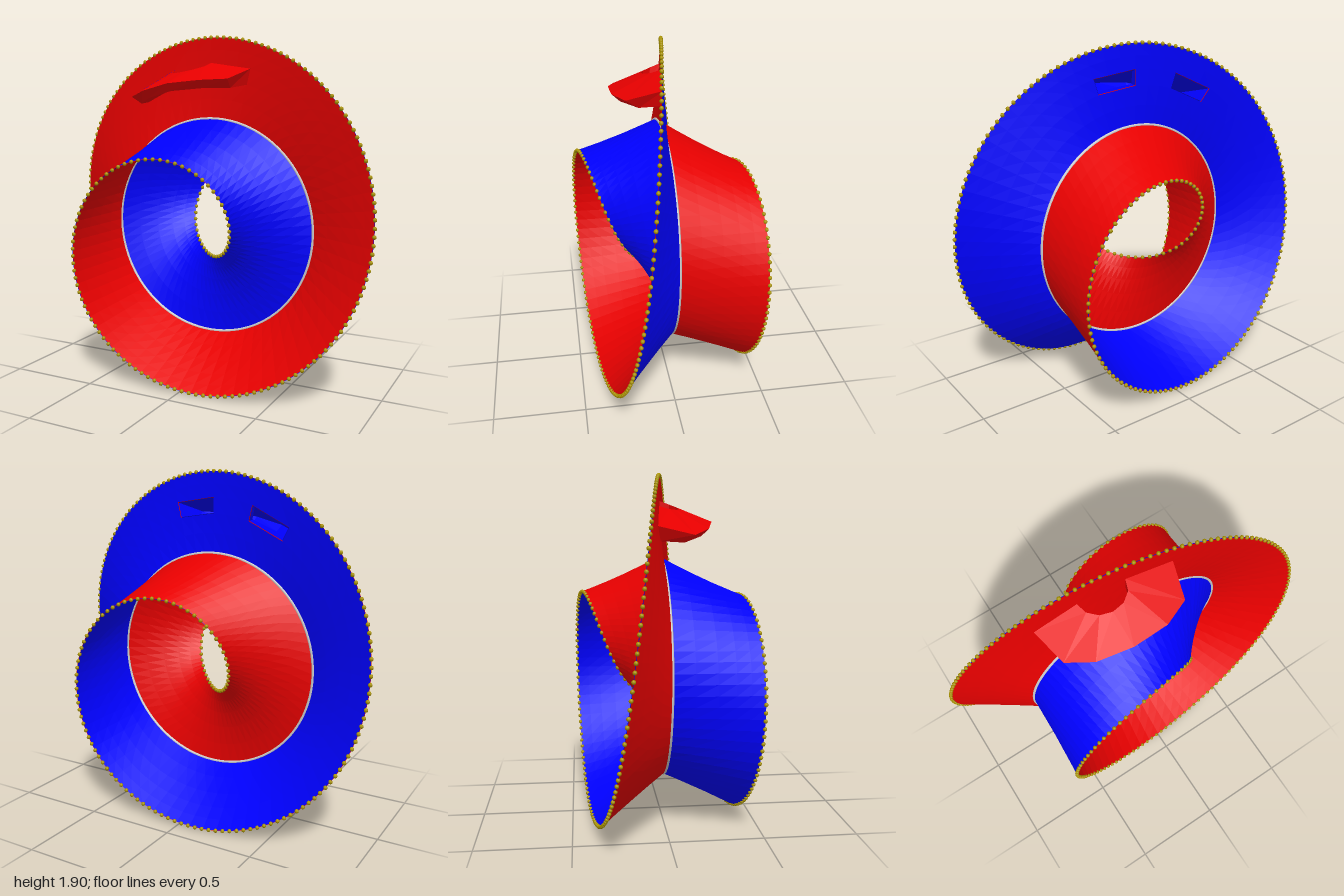
import * as THREE from 'three';
import { mergeGeometries } from 'three/addons/utils/BufferGeometryUtils.js';

const CY = 0.848, R = 0.606;          // core circle centre height and radius
const WR = 0.44, WZ = 0.463;          // sheet width, radially and along z
const HALF = 0.0015;                  // half the sheet thickness
const SEG = 68, TURNS = 3;            // the sheet closes after three turns
const STEP = (2 * Math.PI) / SEG;
const N = SEG * TURNS;
const ROWS = [0, 0.25, 0.49, 0.69, 0.85, 1];

// Point on the twisting sheet: a = angle from the top towards +x, s = 0 core .. 1 rim,
// offset = distance along the sheet's normal
function sheetPoint(a, s, offset = 0) {
  const phi = a / 3;
  const r = R + WR * s * Math.cos(phi) - offset * Math.sin(phi);
  const z = WZ * s * Math.sin(phi) + offset * Math.cos(phi);
  return new THREE.Vector3(r * Math.sin(a), CY + r * Math.cos(a), z);
}

// Quad grid with flat faces; flip reverses the facing
function gridGeometry(nu, nv, point, flip, skip = () => false) {
  const pos = [];
  for (let i = 0; i < nu; i++) {
    for (let j = 0; j < nv; j++) {
      if (skip(i, j)) continue;
      const a = point(i, j), b = point(i + 1, j), c = point(i + 1, j + 1), d = point(i, j + 1);
      const order = flip ? [a, c, b, a, d, c] : [a, b, c, a, c, d];
      for (const p of order) pos.push(p.x, p.y, p.z);
    }
  }
  const g = new THREE.BufferGeometry();
  g.setAttribute('position', new THREE.Float32BufferAttribute(pos, 3));
  g.computeVertexNormals();
  return g;
}

// Two openings in the sheet, each three cells wide, where the hollow handle joins it
const OPENINGS = [0, N - 6];
const isOpening = (i, j) => j === 2 && OPENINGS.some((o) => i >= o && i < o + 3);

// Sheet grid point; the long edges of the openings are straight to meet the handle walls
function sheetGridPoint(i, j, offset) {
  const start = OPENINGS.find((o) => i > o && i < o + 3);
  if (start === undefined || (j !== 2 && j !== 3)) return sheetPoint(i * STEP, ROWS[j], offset);
  const end = sheetPoint((start + 3) * STEP, ROWS[j], offset);
  return sheetPoint(start * STEP, ROWS[j], offset).lerp(end, (i - start) / 3);
}

// Corner k of the handle's four-sided section at step i along its arch;
// inset moves the walls towards the inside of the hollow
const ARCH = 6;
function handlePoint(i, k, inset) {
  const t = (Math.PI * i) / ARCH;
  const corner = k % 4;
  const outer = corner < 2;
  const top = corner === 0 || corner === 3;
  const rise = i % ARCH === 0 ? 0 : Math.sin(t);
  const span = outer ? 4.5 - inset * 12 : 1.5 + inset * 12;
  const a = (-1.5 + span * Math.cos(t)) * STEP;
  const p = sheetPoint(a, top ? ROWS[3] - inset * 2 : ROWS[2] + 0.08 * rise + inset * 2);
  const height = outer ? (top ? 0.283 : 0.25) - inset : 0.105 + inset;
  const lift = height * (outer && top ? rise ** 0.6 : rise);
  p.z += lift;
  p.y -= 0.37 * lift;
  return p;
}

export function createModel() {
  const group = new THREE.Group();
  const add = (name, geometry, color, open) => {
    const material = new THREE.MeshStandardMaterial({
      color, flatShading: open, side: open ? THREE.DoubleSide : THREE.FrontSide,
    });
    const mesh = new THREE.Mesh(geometry, material);
    mesh.name = name;
    group.add(mesh);
    return mesh;
  };

  // Thin sheet and hollow handle, each with a red and a blue layer
  for (const [side, color, blue] of [['red', 0xe60000, false], ['blue', 0x0000ff, true]]) {
    const sheet = (i, j) => sheetGridPoint(i, j, blue ? -HALF : HALF);
    const handle = (i, k) => handlePoint(i, k, blue ? 2 * HALF : 0);
    add(side + 'SheetSide', gridGeometry(N, ROWS.length - 1, sheet, blue, isOpening), color, true);
    add(side + 'HandleSide', gridGeometry(ARCH, 4, handle, blue), color, true);
  }

  // Core ring where the three sheets meet
  add('coreRing', new THREE.TorusGeometry(R, 0.009, 8, 96), 0xcccccc, false).position.y = CY;

  // Beads evenly spaced along the single rim
  const rimPoints = [];
  for (let i = 0; i < N; i++) rimPoints.push(sheetPoint(i * STEP, 1));
  const rim = new THREE.CatmullRomCurve3(rimPoints, true);
  rim.arcLengthDivisions = 1200;
  const beads = rim.getSpacedPoints(288).slice(0, -1).map((p) =>
    new THREE.SphereGeometry(0.011, 8, 6).translate(p.x, p.y, p.z));
  add('rimBeads', mergeGeometries(beads), 0xa89200, false);

  return group;
}
